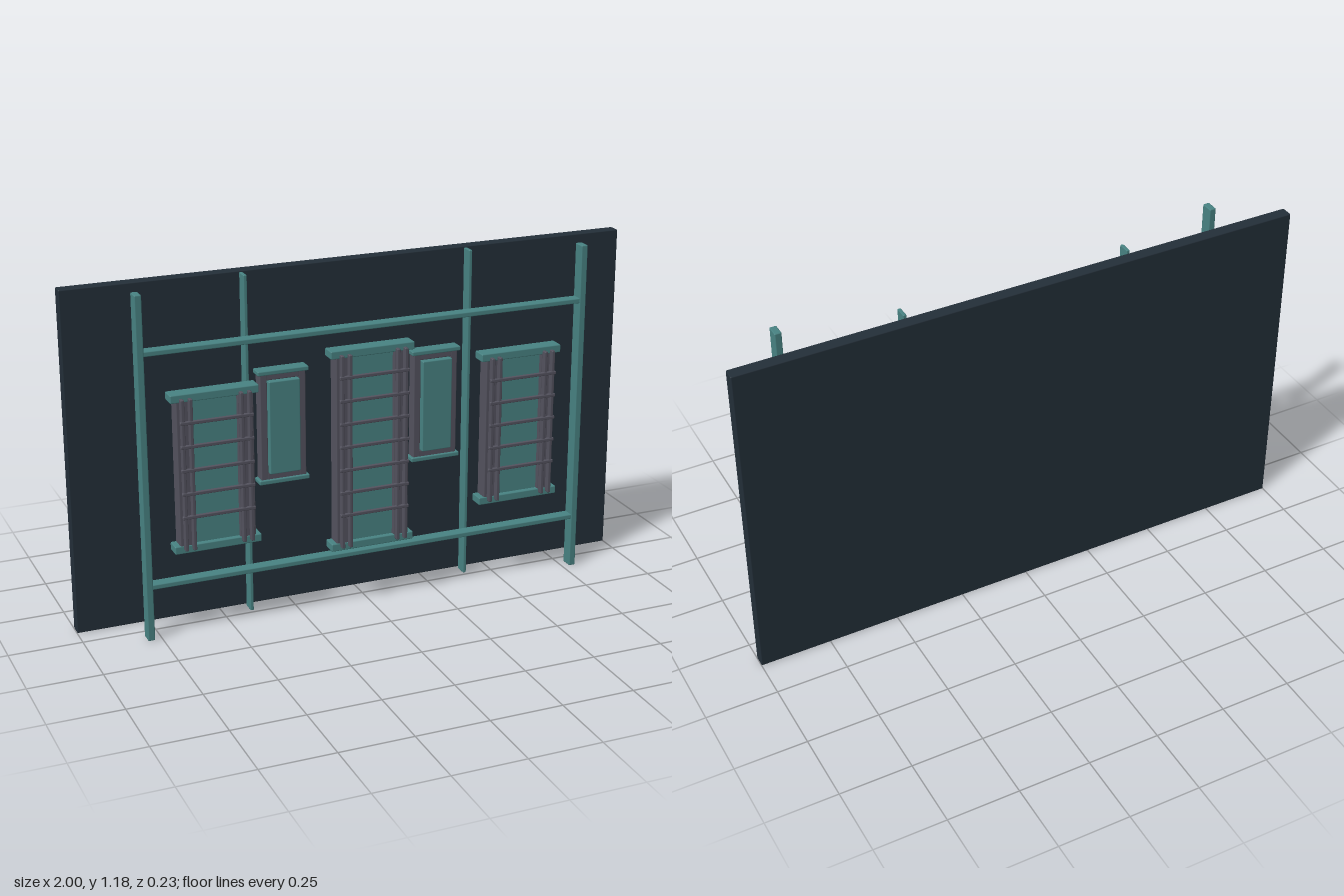
import * as THREE from 'three';
import { RoundedBoxGeometry } from 'three/addons/geometries/RoundedBoxGeometry.js';

const mat = (name, color) => {
  const m = new THREE.MeshStandardMaterial({ color });
  m.name = name;
  return m;
};

export function createModel() {
  const navy = mat('dark navy', 0x232f39);
  const teal = mat('muted teal', 0x488383);
  const grey = mat('slate grey', 0x54535f);
  const model = new THREE.Group();
  model.name = 'panelledScreen';

  // Slightly eased box given by its extents
  const bar = (parent, name, material, x0, x1, y0, y1, z0, z1) => {
    const w = x1 - x0, h = y1 - y0, d = z1 - z0;
    const r = Math.min(0.004, Math.min(w, h, d) * 0.25);
    const mesh = new THREE.Mesh(new RoundedBoxGeometry(w, h, d, 1, r), material);
    mesh.position.set((x0 + x1) / 2, (y0 + y1) / 2, (z0 + z1) / 2);
    mesh.name = name;
    parent.add(mesh);
  };

  // Backing board
  bar(model, 'backBoard', navy, -1, 1, 0, 1.185, -0.113, -0.07);

  // Thick front posts and thin rear posts
  for (const s of [-1, 1]) {
    bar(model, 'frontPost', teal, s * 0.787 - 0.012, s * 0.787 + 0.012, 0, 1.185, 0.035, 0.08);
    bar(model, 'rearPost', teal, s * 0.402 - 0.006, s * 0.402 + 0.006, 0, 1.185, -0.056, -0.012);
  }

  // Horizontal rails between the front posts
  for (const y of [0.19, 0.99]) bar(model, 'rail', teal, -0.78, 0.78, y - 0.009, y + 0.009, 0.036, 0.078);

  // Large shutter: infill, stiles, ladder rods and rungs, end caps
  const shutter = (name, x, y0, y1, rungTop, rungCount) => {
    const g = new THREE.Group();
    g.name = name;
    g.position.x = x;
    bar(g, 'infill', teal, -0.085, 0.085, y0 + 0.01, y1 - 0.01, 0.045, 0.078);
    for (const s of [-1, 1]) {
      bar(g, 'stile', grey, s * 0.104 - 0.027, s * 0.104 + 0.027, y0, y1, 0.04, 0.092);
      for (const rx of [0.086, 0.114]) {
        bar(g, 'ladderRod', grey, s * rx - 0.006, s * rx + 0.006, y0, y1, 0.09, 0.112);
      }
    }
    for (let i = 0; i < rungCount; i++) {
      const y = rungTop - i * 0.081;
      bar(g, 'rung', grey, -0.125, 0.125, y - 0.006, y + 0.006, 0.102, 0.114);
    }
    for (const y of [y0, y1]) bar(g, 'endCap', teal, -0.15, 0.15, y - 0.014, y + 0.014, 0.04, 0.094);
    model.add(g);
  };
  shutter('centreShutter', 0, 0.23, 0.912, 0.836, 7);
  shutter('rightShutter', -0.55, 0.313, 0.834, 0.755, 5);
  shutter('leftShutter', 0.55, 0.313, 0.834, 0.755, 5);

  // Small rear panels: frame, raised infill, end caps
  for (const s of [-1, 1]) {
    const g = new THREE.Group();
    g.name = s > 0 ? 'leftSmallPanel' : 'rightSmallPanel';
    g.position.x = s * 0.278;
    for (const t of [-1, 1]) {
      bar(g, 'frameStile', grey, t * 0.068 - 0.013, t * 0.068 + 0.013, 0.465, 0.842, -0.056, -0.014);
      const y = 0.655 + t * 0.176;
      bar(g, 'frameRail', grey, -0.06, 0.06, y - 0.013, y + 0.013, -0.056, -0.014);
    }
    bar(g, 'infill', teal, -0.055, 0.055, 0.492, 0.818, -0.05, 0.003);
    for (const y of [0.462, 0.846]) bar(g, 'endCap', teal, -0.09, 0.09, y - 0.008, y + 0.008, -0.056, -0.006);
    model.add(g);
  }

  return model;
}
